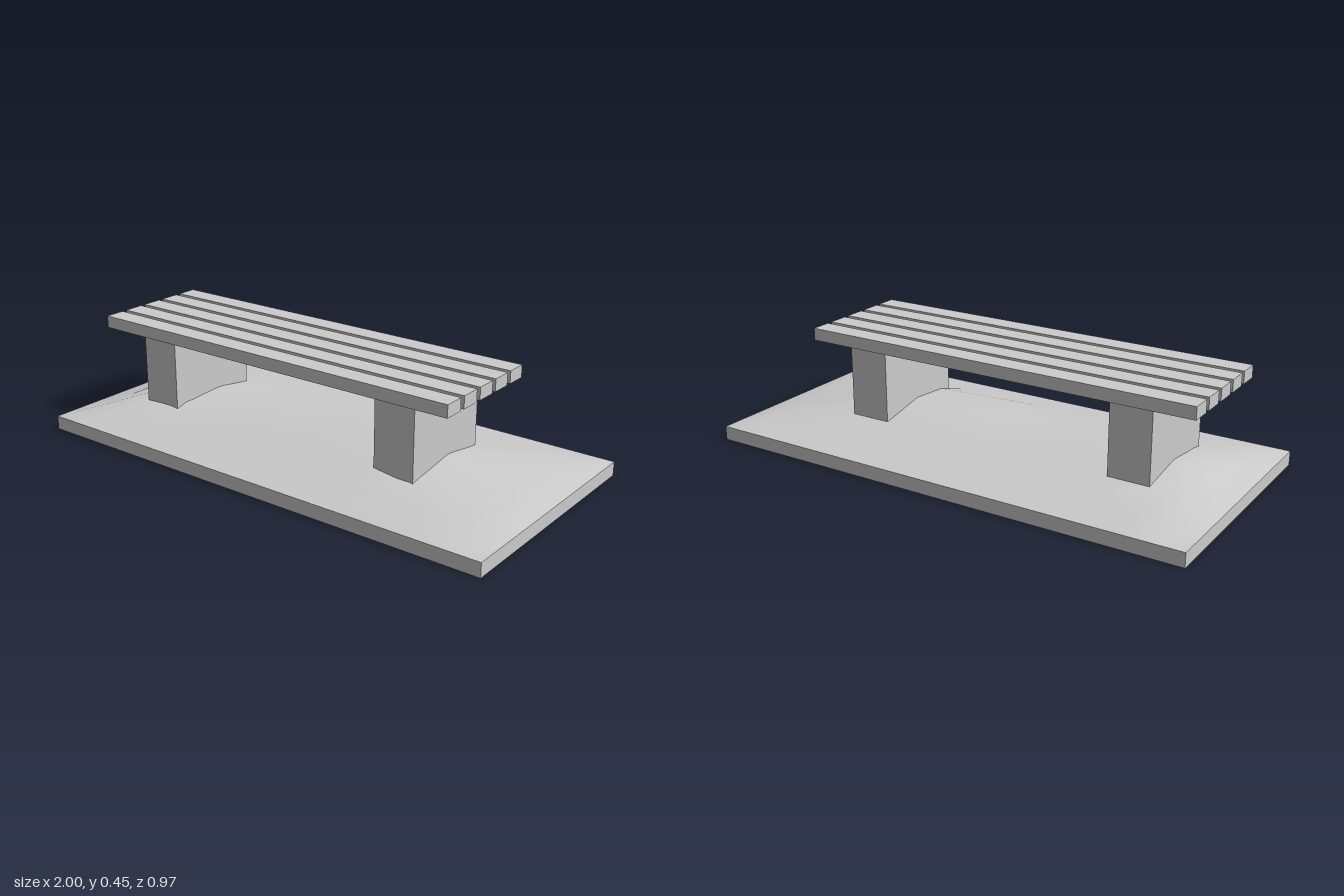
import * as THREE from 'three';

const material = new THREE.MeshStandardMaterial({ color: 0xcccccc, side: THREE.DoubleSide });

// Box between two corners; faces listed in `open` are left out (2 = top, 3 = bottom).
function box(name, [x0, y0, z0], [x1, y1, z1], open = []) {
  const geometry = new THREE.BoxGeometry(x1 - x0, y1 - y0, z1 - z0);
  geometry.translate((x0 + x1) / 2, (y0 + y1) / 2, (z0 + z1) / 2);
  const index = Array.from(geometry.index.array);
  geometry.setIndex(index.filter((_, i) => !open.includes(Math.floor(i / 6))));
  geometry.clearGroups();
  const mesh = new THREE.Mesh(geometry, material);
  mesh.name = name;
  return mesh;
}

// Gently mounded earth: one height row per z station, back to front.
function createGround() {
  const xs = [-1, -0.89, -0.78, -0.6, -0.48, 0, 0.4, 0.55, 0.67, 0.88, 1];
  const zs = [-0.485, -0.33, -0.17, 0, 0.17, 0.33, 0.485];
  const rim = 0.056;
  const edge = xs.map(() => rim);
  const slope = xs.map((x) => (Math.abs(x) === 1 ? rim : 0.085));
  const heights = [
    edge,
    slope,
    [rim, 0.085, 0.112, 0.113, 0.11, 0.113, 0.113, 0.113, 0.108, 0.085, rim],
    [rim, 0.085, 0.138, 0.138, 0.112, 0.13, 0.148, 0.14, 0.112, 0.085, rim],
    [rim, 0.085, 0.118, 0.128, 0.112, 0.125, 0.135, 0.115, 0.1, 0.085, rim],
    slope,
    edge,
  ];
  const geometry = new THREE.PlaneGeometry(2, 0.97, xs.length - 1, zs.length - 1);
  geometry.rotateX(-Math.PI / 2);
  const position = geometry.attributes.position;
  for (let i = 0; i < position.count; i++) {
    const column = i % xs.length;
    const row = Math.floor(i / xs.length);
    position.setXYZ(i, xs[column], heights[row][column], zs[row]);
  }
  geometry.computeVertexNormals();
  const surface = new THREE.Mesh(geometry, material);
  surface.name = 'groundSurface';

  const ground = new THREE.Group();
  ground.name = 'ground';
  ground.add(surface, box('groundRim', [-1, 0, -0.485], [1, rim, 0.485], [2, 3]));
  return ground;
}

export function createModel() {
  const model = new THREE.Group();
  model.name = 'bench';
  model.add(createGround());

  // Wide slab legs, open underneath and sunk into the earth
  model.add(box('rightLeg', [-0.735, 0.09, -0.2], [-0.57, 0.43, 0.222], [3]));
  model.add(box('leftLeg', [0.4, 0.09, -0.2], [0.567, 0.43, 0.222], [3]));

  // Five seat slats
  const seat = new THREE.Group();
  seat.name = 'seat';
  for (let i = 0; i < 5; i++) {
    const z = 0.014 + (i - 2) * 0.1045;
    seat.add(box('seatSlat', [-0.905, 0.4, z - 0.0415], [0.722, 0.449, z + 0.0415]));
  }
  model.add(seat);
  return model;
}
